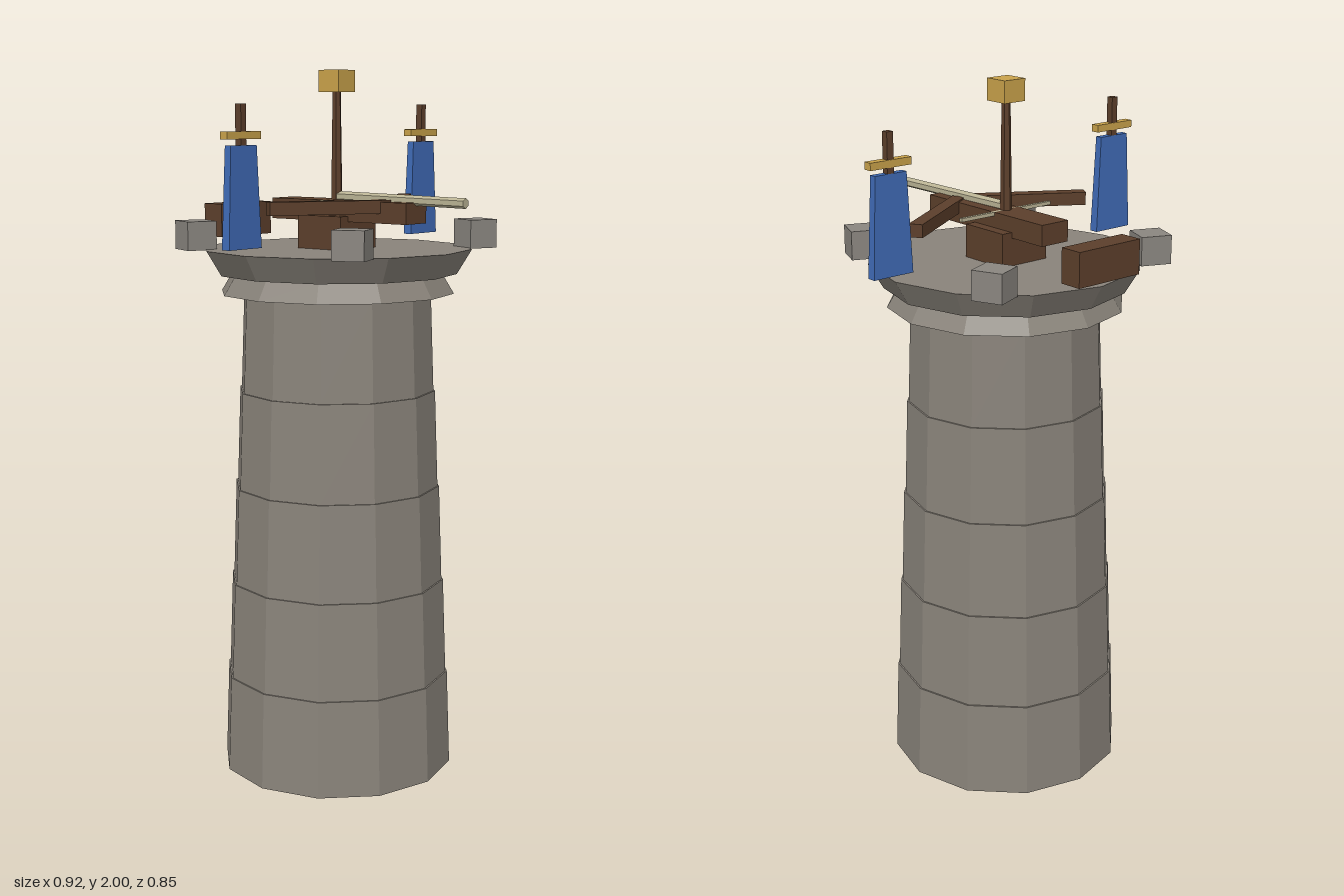
import * as THREE from 'three';

const mat = (name, color) => {
  const m = new THREE.MeshStandardMaterial({ color, flatShading: true });
  m.name = name;
  return m;
};

export function createModel() {
  const stone = mat('stone', 0x89837a);
  const paleStone = mat('pale stone', 0x8a8680);
  const wood = mat('dark wood', 0x5c3f2b);
  const gold = mat('gold', 0xc9a24a);
  const blue = mat('blue cloth', 0x3f6ab5);
  const pale = mat('pale wood', 0xbab394);

  const model = new THREE.Group();
  model.name = 'ballistaTower';
  const axisZ = -0.015; // the tower axis sits slightly behind the centre

  const add = (name, geo, material, x, y, z, parent = model) => {
    const mesh = new THREE.Mesh(geo, material);
    mesh.name = name;
    mesh.position.set(x, y, z);
    parent.add(mesh);
    return mesh;
  };
  const box = (name, w, h, d, material, x, y, z, parent) =>
    add(name, new THREE.BoxGeometry(w, h, d), material, x, y, z, parent);
  const ring = (name, rTop, rBottom, y0, y1) =>
    add(name, new THREE.CylinderGeometry(rTop, rBottom, y1 - y0, 12), stone, 0, (y0 + y1) / 2, axisZ);

  // Tower shaft: five tapered courses, each stepping in slightly
  const course = 0.277;
  for (let i = 0; i < 5; i++) {
    const r = 0.336 - 0.0145 * i;
    ring('towerCourse', r - 0.01, r, i * course, (i + 1) * course);
  }

  // Cornice and fighting platform
  ring('lowerCornice', 0.3, 0.333, 1.385, 1.44);
  ring('platform', 0.382, 0.34, 1.44, 1.51);

  // Four merlons around the rim
  for (const sx of [-1, 1]) {
    for (const sz of [-1, 1]) {
      const merlon = box('merlon', 0.087, 0.08, 0.088, paleStone, sx * 0.279, 1.548, axisZ + sz * 0.28);
      merlon.rotation.y = -sx * sz * Math.PI / 8;
    }
  }

  // Chest at the back edge
  box('chest', 0.214, 0.095, 0.067, wood, 0, 1.577, -0.391);

  // Ballista
  const ballista = new THREE.Group();
  ballista.name = 'ballista';
  model.add(ballista);
  box('ballistaBase', 0.156, 0.093, 0.155, wood, 0, 1.556, axisZ, ballista);
  box('ballistaStock', 0.092, 0.058, 0.477, wood, 0, 1.616, 0.024, ballista);
  for (const s of [-1, 1]) {
    const arm = box('bowArm', 0.344, 0.036, 0.038, wood, s * 0.157, 1.632, 0.086, ballista);
    arm.rotation.y = s * 0.552;
  }
  box('bowString', 0.318, 0.01, 0.01, pale, 0, 1.64, axisZ, ballista);
  const bolt = add('bolt', new THREE.CylinderGeometry(0.014, 0.014, 0.44, 6), pale, 0, 1.651, 0.205, ballista);
  bolt.rotation.x = Math.PI / 2 + 0.015;

  // Central mast with a gold block on top
  add('mast', new THREE.CylinderGeometry(0.012, 0.017, 0.34, 6), wood, 0, 1.78, axisZ);
  box('mastCap', 0.072, 0.06, 0.072, gold, 0, 1.97, axisZ);

  // Banners on either side
  const cloth = new THREE.CylinderGeometry(0.79 * Math.SQRT1_2, Math.SQRT1_2, 0.27, 4, 1, false, Math.PI / 4);
  cloth.scale(0.127, 1, 0.026);
  for (const s of [-1, 1]) {
    const banner = new THREE.Group();
    banner.name = 'banner';
    banner.position.set(s * 0.395, 0, axisZ);
    model.add(banner);
    add('bannerCloth', cloth, blue, 0, 1.665, 0, banner);
    box('bannerPole', 0.02, 0.125, 0.02, wood, 0, 1.845, 0, banner);
    box('bannerCrossbar', 0.131, 0.02, 0.025, gold, 0, 1.826, 0, banner);
  }

  return model;
}
